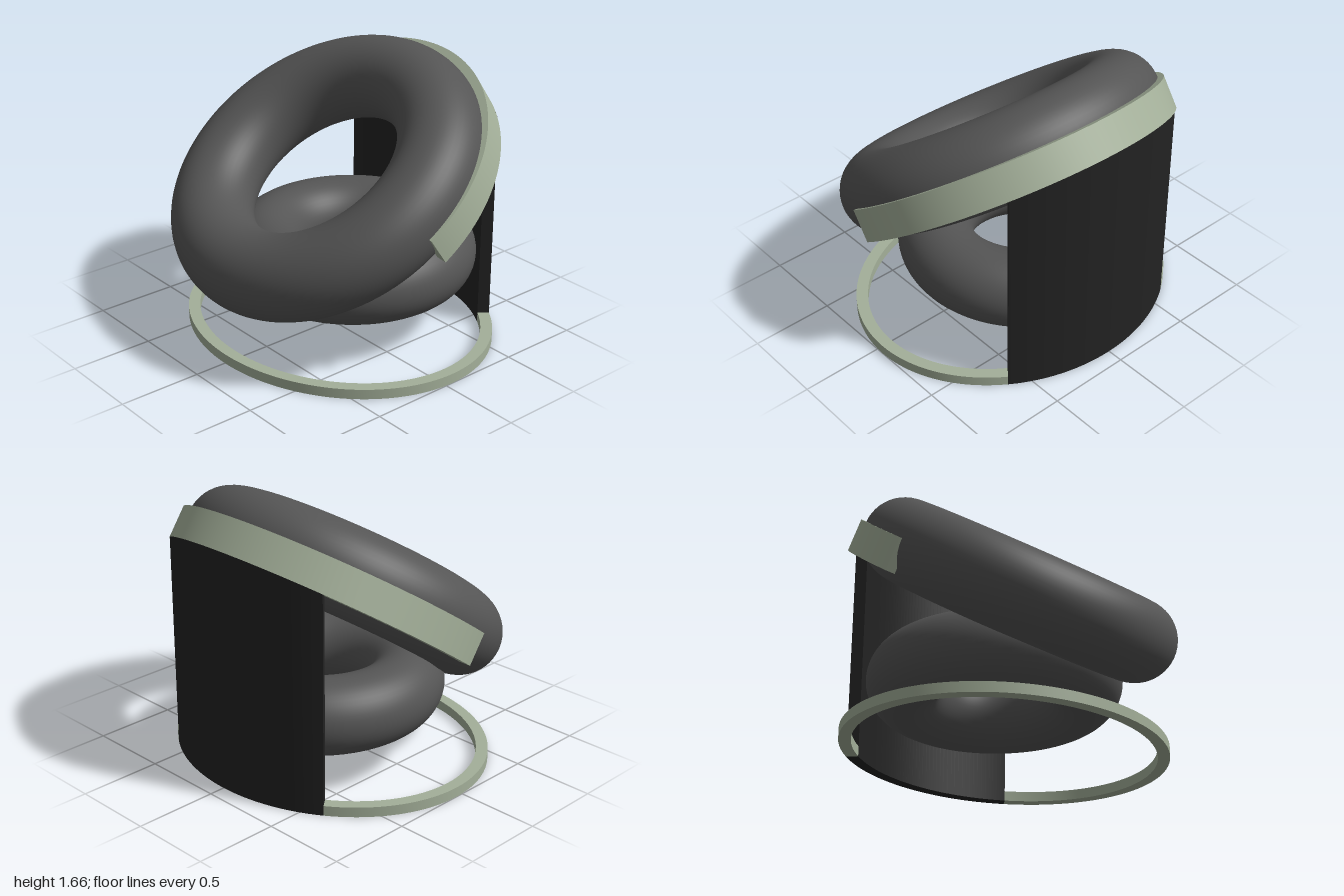
import * as THREE from 'three';
import { toCreasedNormals } from 'three/addons/utils/BufferGeometryUtils.js';

const TILT = THREE.MathUtils.degToRad(35);
const THICK = 0.07;      // wall thickness of band, back and base ring
const DEPTH = 0.854;     // half depth of the oval footprint
const CENTRE_Z = -0.05;

// Curved strip following an oval, standing on y = 0; angles are measured from the back
function ovalStrip(halfDepth, from, to, height, segments = 96) {
  const points = [];
  const add = (a, b, t) => points.push(new THREE.Vector2(a * Math.sin(t), b * Math.cos(t)));
  for (let i = 0; i <= segments; i++) add(1, halfDepth, from + (to - from) * i / segments);
  for (let i = segments; i >= 0; i--) add(1 - THICK, halfDepth - THICK, from + (to - from) * i / segments);
  const geometry = new THREE.ExtrudeGeometry(new THREE.Shape(points), { depth: height, bevelEnabled: false });
  return geometry.rotateX(-Math.PI / 2);
}

export function createModel() {
  const group = new THREE.Group();
  const cushionGrey = new THREE.MeshStandardMaterial({ color: 0x555555 });
  const panelBlack = new THREE.MeshStandardMaterial({ color: 0x222222 });
  const trimGreen = new THREE.MeshStandardMaterial({ color: 0xa3af99 });

  const addPart = (name, geometry, material) => {
    const mesh = new THREE.Mesh(geometry, material);
    mesh.name = name;
    group.add(mesh);
    return mesh;
  };

  // Tilted upper cushion
  const upper = addPart('upperCushion', new THREE.TorusGeometry(0.735, 0.248, 48, 128).rotateX(Math.PI / 2), cushionGrey);
  upper.position.set(0, 0.99, 0.06);
  upper.rotation.x = TILT;

  // Flat lower cushion
  const lower = addPart('lowerCushion', new THREE.TorusGeometry(0.521, 0.224, 48, 128).rotateX(Math.PI / 2), cushionGrey);
  lower.position.set(0, 0.454, -0.155);

  // Tilted band wrapped around the back half of the upper cushion
  const reach = Math.PI / 2 + 0.098;
  const band = addPart('backBand',
    toCreasedNormals(ovalStrip(DEPTH / Math.cos(TILT), -reach, reach, 0.195), 0.5), trimGreen);
  const bandY = 0.838;
  band.position.set(0, bandY, CENTRE_Z);
  band.rotation.x = TILT;

  // Curved back panel, its top cut along the underside of the band
  const panelReach = Math.asin(0.62);
  const panel = ovalStrip(DEPTH, -panelReach, panelReach, 1, 48);
  const p = panel.attributes.position;
  for (let i = 0; i < p.count; i++) {
    if (p.getY(i) > 0.5) p.setY(i, bandY - p.getZ(i) * Math.tan(TILT));
  }
  addPart('backPanel', toCreasedNormals(panel, 0.5), panelBlack).position.z = CENTRE_Z;

  // Base ring running from one side of the panel round to the other
  const base = ovalStrip(DEPTH, panelReach, 2 * Math.PI - panelReach, 0.06, 128);
  addPart('baseRing', toCreasedNormals(base, 0.5), trimGreen).position.z = CENTRE_Z;

  return group;
}
